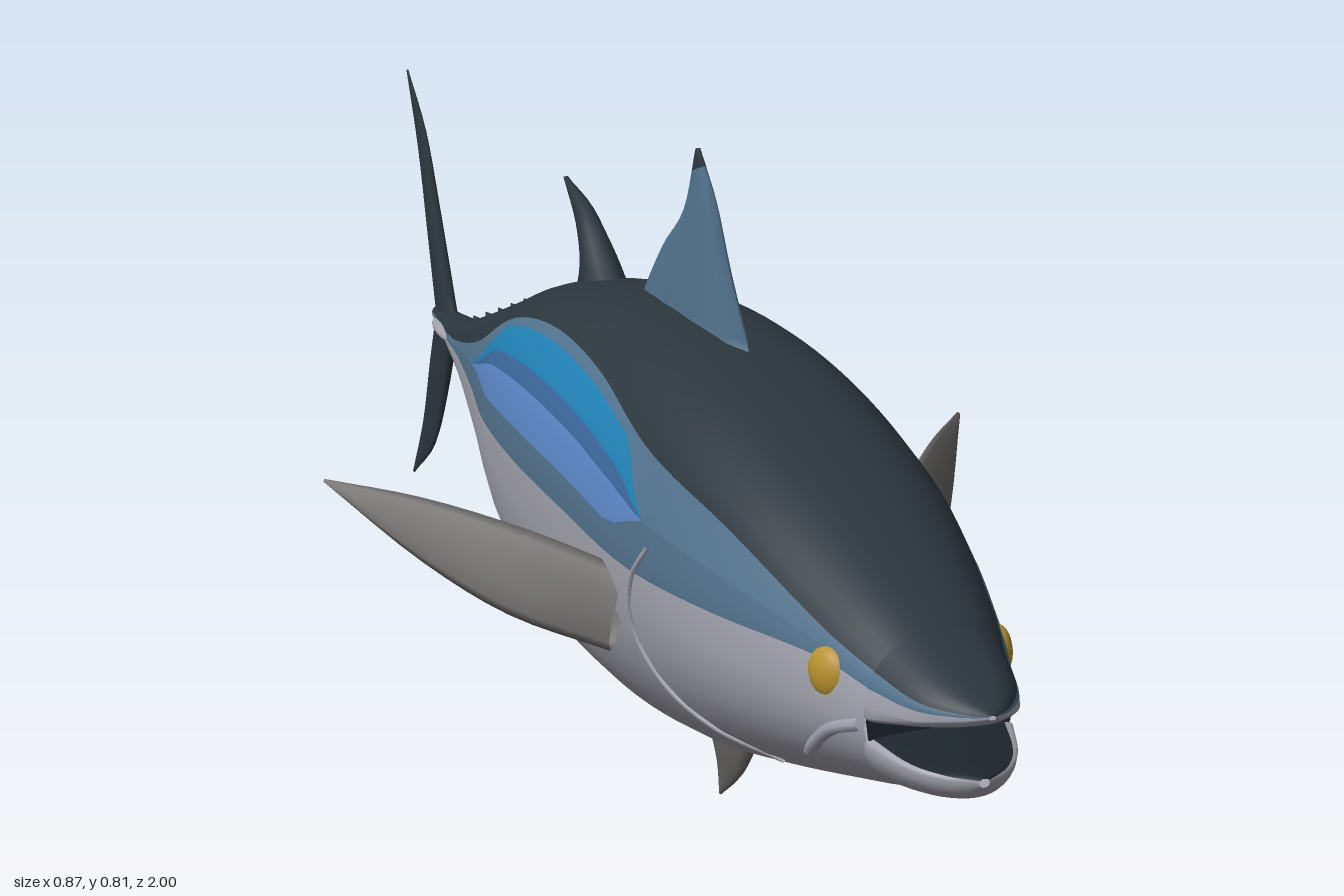
import * as THREE from 'three';

const mat = (name, color, side = THREE.FrontSide) => {
  const m = new THREE.MeshStandardMaterial({ color, side });
  m.name = name;
  return m;
};
const V = (x, y, z) => new THREE.Vector3(x, y, z);

// Smooth value of every column of a row table at position z (rows run front to back)
function sample(rows, z) {
  let i = 0;
  while (i < rows.length - 2 && z < rows[i + 1][0]) i++;
  const at = k => rows[Math.min(Math.max(k, 0), rows.length - 1)];
  const a = at(i), b = at(i + 1), h = b[0] - a[0], t = (z - a[0]) / h;
  const slope = (k, c) => (at(k + 1)[c] - at(k - 1)[c]) / (at(k + 1)[0] - at(k - 1)[0]);
  return a.map((v, c) => {
    if (c === 0) return z;
    const t2 = t * t, t3 = t2 * t;
    return (2 * t3 - 3 * t2 + 1) * v + (t3 - 2 * t2 + t) * h * slope(i, c)
      + (3 * t2 - 2 * t3) * b[c] + (t3 - t2) * h * slope(i + 1, c);
  });
}

// Cross-section: rounder above the widest line than below it
const UPPER = 0.85;
function angleAt([, top, bottom, , mid], y) {
  const s = y > mid ? (y - mid) / (top - mid) : (y - mid) / (mid - bottom);
  const c = Math.min(Math.abs(s), 1);
  return s > 0 ? Math.asin(c ** (1 / UPPER)) : -Math.asin(c);
}
function pointAt([z, top, bottom, width, mid], a) {
  const e = a > 0 ? UPPER : 1, s = Math.abs(Math.sin(a)) ** e;
  const x = width * Math.max(Math.cos(a), 0) ** e;
  return V(x, a > 0 ? mid + (top - mid) * s : mid - (mid - bottom) * s, z);
}

// Lofted skin with colour bands that follow the length of the fish
const SEGS = [9, 2, 3, 1, 2, 1, 6];
function loft(rows, step, materials, name) {
  const pos = [], rings = [];
  for (let i = 0; i < rows.length - 1; i++) {
    const n = Math.max(1, Math.round((rows[i][0] - rows[i + 1][0]) / step));
    for (let k = 0; k < n; k++) rings.push(THREE.MathUtils.lerp(rows[i][0], rows[i + 1][0], k / n));
  }
  rings.push(rows.at(-1)[0]);
  const half = SEGS.reduce((a, b) => a + b), ring = half * 2;
  for (const z of rings) {
    const r = sample(rows, z), low = r[5], high = r[6];
    const k = THREE.MathUtils.clamp(Math.min((0.43 - z) / 0.08, (z + 0.42) / 0.22), 0, 1);
    const edges = [0, 0.25, 0.56, 0.7, 0.93, 1].map((f, i) =>
      i === 0 ? low : i === 5 ? high : low + (high - low) * (0.5 + (f - 0.5) * k));
    const angles = [-Math.PI / 2, ...edges.map(y => angleAt(r, y)), Math.PI / 2];
    const side = [];
    SEGS.forEach((n, b) => {
      for (let j = 0; j < n; j++) side.push(pointAt(r, THREE.MathUtils.lerp(angles[b], angles[b + 1], j / n)));
    });
    side.push(pointAt(r, Math.PI / 2));
    side.forEach(p => pos.push(p.x, p.y, p.z));
    for (let j = half - 1; j > 0; j--) pos.push(-side[j].x, side[j].y, side[j].z);
  }
  const g = new THREE.BufferGeometry(), index = [];
  let start = 0;
  SEGS.forEach((n, b) => {
    const from = index.length;
    for (let i = 0; i < rings.length - 1; i++) for (let j = start; j < start + n; j++) {
      for (const c of [j, ring - 1 - j]) {
        const p = i * ring + c, q = i * ring + (c + 1) % ring;
        index.push(p, p + ring, q, q, p + ring, q + ring);
      }
    }
    g.addGroup(from, index.length - from, b);
    start += n;
  });
  g.setAttribute('position', new THREE.Float32BufferAttribute(pos, 3));
  g.setIndex(index);
  g.computeVertexNormals();
  const m = new THREE.Mesh(g, materials);
  m.name = name;
  return m;
}

// Fin: lens-shaped sections between a leading and a trailing edge, s0 to s1 along its span
function fin(name, material, lead, trail, normal, thick, s0 = 0, s1 = 1) {
  const a = new THREE.CatmullRomCurve3(lead), b = new THREE.CatmullRomCurve3(trail);
  const n = normal.clone().normalize(), rows = 12, cols = 10, pos = [], index = [];
  for (let i = 0; i <= rows; i++) {
    const s = s0 + (s1 - s0) * i / rows, p = a.getPoint(s), q = b.getPoint(s);
    for (let j = 0; j < cols; j++) {
      const w = j / cols * Math.PI * 2, u = (1 - Math.cos(w)) / 2;
      const v = p.clone().lerp(q, u).addScaledVector(n, Math.sin(w) * thick * (1 - 0.9 * s));
      pos.push(v.x, v.y, v.z);
    }
  }
  for (let i = 0; i < rows; i++) for (let j = 0; j < cols; j++) {
    const p = i * cols + j, q = i * cols + (j + 1) % cols;
    index.push(p, q, p + cols, q, q + cols, p + cols);
  }
  const g = new THREE.BufferGeometry();
  g.setAttribute('position', new THREE.Float32BufferAttribute(pos, 3));
  g.setIndex(index);
  g.computeVertexNormals();
  const m = new THREE.Mesh(g, material);
  m.name = name;
  return m;
}

export function createModel() {
  const fish = new THREE.Group();
  fish.name = 'fish';
  const D = THREE.DoubleSide;
  const dark = mat('dark back', 0x2b363d, D), slate = mat('slate blue', 0x50708a, D);
  const peri = mat('periwinkle', 0x5a85c4), mid = mat('deep blue', 0x3a6699);
  const bright = mat('bright blue', 0x1f7fb2), silver = mat('silver', 0xa2a2ad, D);
  const grey = mat('fin grey', 0x656260, D), gold = mat('gold', 0xb8922f), mouth = mat('mouth', 0x1d262c, D);
  const skin = [silver, slate, peri, mid, bright, slate, dark];

  // Columns: z, top, bottom, half width, widest height, lower edge of blue, lower edge of dark back
  const body = [
    [0.87, 0.415, 0.235, 0.09, 0.325, 0.36, 0.378], [0.8, 0.447, 0.215, 0.115, 0.33, 0.375, 0.4],
    [0.6, 0.525, 0.165, 0.167, 0.345, 0.375, 0.465], [0.4, 0.58, 0.12, 0.188, 0.36, 0.37, 0.505],
    [0.2, 0.605, 0.097, 0.194, 0.37, 0.385, 0.55], [0, 0.6, 0.1, 0.185, 0.375, 0.39, 0.557],
    [-0.2, 0.565, 0.13, 0.157, 0.375, 0.388, 0.523], [-0.4, 0.495, 0.195, 0.107, 0.37, 0.38, 0.443],
    [-0.6, 0.425, 0.285, 0.06, 0.362, 0.37, 0.39], [-0.72, 0.388, 0.328, 0.036, 0.36, 0.363, 0.371],
    [-0.86, 0.378, 0.355, 0.012, 0.366, 0.368, 0.37]];
  fish.add(loft(body, 0.035, skin, 'body'));

  // Open mouth
  const snout = [[1, 0.361, 0.356, 0.004, 0.358, 0.359, 0.36], [0.985, 0.37, 0.346, 0.027, 0.354, 0.357, 0.36],
    [0.94, 0.388, 0.33, 0.062, 0.343, 0.354, 0.363], [0.87, 0.415, 0.312, 0.09, 0.328, 0.36, 0.378]];
  fish.add(loft(snout, 0.01, skin, 'snout'));
  const jaw = [[0.985, 0.285, 0.275, 0.006, 0.28, 0.283, 0.283], [0.97, 0.29, 0.259, 0.035, 0.282, 0.286, 0.286],
    [0.93, 0.294, 0.246, 0.066, 0.286, 0.29, 0.29], [0.87, 0.305, 0.235, 0.089, 0.296, 0.301, 0.301]];
  fish.add(loft(jaw, 0.01, [silver, ...Array(6).fill(mouth)], 'lowerJaw'));
  const throat = new THREE.Mesh(new THREE.CircleGeometry(0.088, 24), mouth);
  throat.position.set(0, 0.325, 0.871);
  throat.name = 'throat';
  fish.add(throat);

  // Raised line on the skin through [z, y] points
  const skinLine = (name, pts, radius, material, side) => {
    const curve = new THREE.CatmullRomCurve3(pts.map(([z, y]) => {
      const r = sample(body, z), p = pointAt(r, angleAt(r, y));
      p.x *= side;
      return p;
    }));
    const m = new THREE.Mesh(new THREE.TubeGeometry(curve, 24, radius, 6), material);
    m.name = name;
    fish.add(m);
  };

  // Paired parts
  for (const s of [1, -1]) {
    const eye = new THREE.Mesh(new THREE.SphereGeometry(0.031, 20, 14), gold);
    eye.scale.x = 0.6;
    eye.rotation.y = -s * 0.3;
    eye.position.set(s * 0.1, 0.358, 0.802);
    eye.name = 'eye';
    fish.add(eye);
    skinLine('gillEdge', [[0.46, 0.41], [0.42, 0.36], [0.41, 0.3], [0.45, 0.24], [0.52, 0.205], [0.62, 0.19]], 0.004, silver, s);
    skinLine('lip', [[0.865, 0.318], [0.82, 0.3], [0.77, 0.265], [0.75, 0.25]], 0.008, silver, s);
    fish.add(fin('pectoralFin', grey,
      [V(s * 0.17, 0.355, 0.37), V(s * 0.25, 0.375, 0.235), V(s * 0.342, 0.39, 0.11), V(s * 0.433, 0.393, 0)],
      [V(s * 0.2, 0.262, 0.385), V(s * 0.285, 0.28, 0.265), V(s * 0.355, 0.32, 0.15), V(s * 0.435, 0.39, 0.004)],
      V(s * 0.8, 0.25, 0.55), 0.011));
    const keel = new THREE.Mesh(new THREE.SphereGeometry(1, 16, 10), silver);
    keel.scale.set(0.018, 0.01, 0.08);
    keel.position.set(s * 0.017, 0.362, -0.77);
    keel.rotation.y = s * 0.12;
    keel.name = 'tailKeel';
    fish.add(keel);
  }

  // Fins on the centre line, from [z, y] edges
  const flat = pts => pts.map(([z, y]) => V(0, y, z));
  const midFin = (name, m, lead, trail, thick, s0, s1) =>
    fish.add(fin(name, m, flat(lead), flat(trail), V(1, 0, 0), thick, s0, s1));
  const dorsalLead = [[0.33, 0.585], [0.265, 0.67], [0.215, 0.755], [0.165, 0.81]];
  const dorsalTrail = [[-0.03, 0.585], [0.05, 0.67], [0.12, 0.725], [0.155, 0.808]];
  midFin('firstDorsalFin', slate, dorsalLead, dorsalTrail, 0.026, 0, 0.88);
  midFin('firstDorsalTip', dark, dorsalLead, dorsalTrail, 0.026, 0.88, 1);
  midFin('secondDorsalFin', dark, [[-0.09, 0.56], [-0.165, 0.615], [-0.225, 0.658], [-0.31, 0.681]],
    [[-0.25, 0.53], [-0.215, 0.575], [-0.245, 0.62], [-0.312, 0.679]], 0.034);
  midFin('pelvicFin', grey, [[0.37, 0.12], [0.325, 0.065], [0.29, 0.035], [0.245, 0.004]],
    [[0.18, 0.12], [0.215, 0.085], [0.235, 0.05], [0.241, 0.004]], 0.018);
  midFin('analFin', grey, [[-0.17, 0.145], [-0.235, 0.1], [-0.28, 0.072], [-0.335, 0.05]],
    [[-0.33, 0.18], [-0.315, 0.13], [-0.32, 0.09], [-0.337, 0.052]], 0.016);
  midFin('upperTailLobe', dark, [[-0.785, 0.366], [-0.865, 0.53], [-0.918, 0.63], [-0.995, 0.706]],
    [[-0.86, 0.366], [-0.9, 0.475], [-0.945, 0.595], [-1, 0.704]], 0.013);
  midFin('lowerTailLobe', dark, [[-0.785, 0.37], [-0.825, 0.265], [-0.888, 0.16], [-0.995, 0.085]],
    [[-0.86, 0.37], [-0.9, 0.29], [-0.943, 0.185], [-1, 0.087]], 0.013);

  // Row of finlets behind the second dorsal fin
  for (let i = 0; i < 8; i++) {
    const z = -0.35 - i * 0.055, y = sample(body, z)[1];
    midFin('finlet', dark, [[z + 0.02, y - 0.008], [z, y + 0.002], [z - 0.022, y + 0.001]],
      [[z - 0.02, y - 0.02], [z - 0.018, y - 0.009], [z - 0.024, y - 0.001]], 0.008);
  }
  return fish;
}
